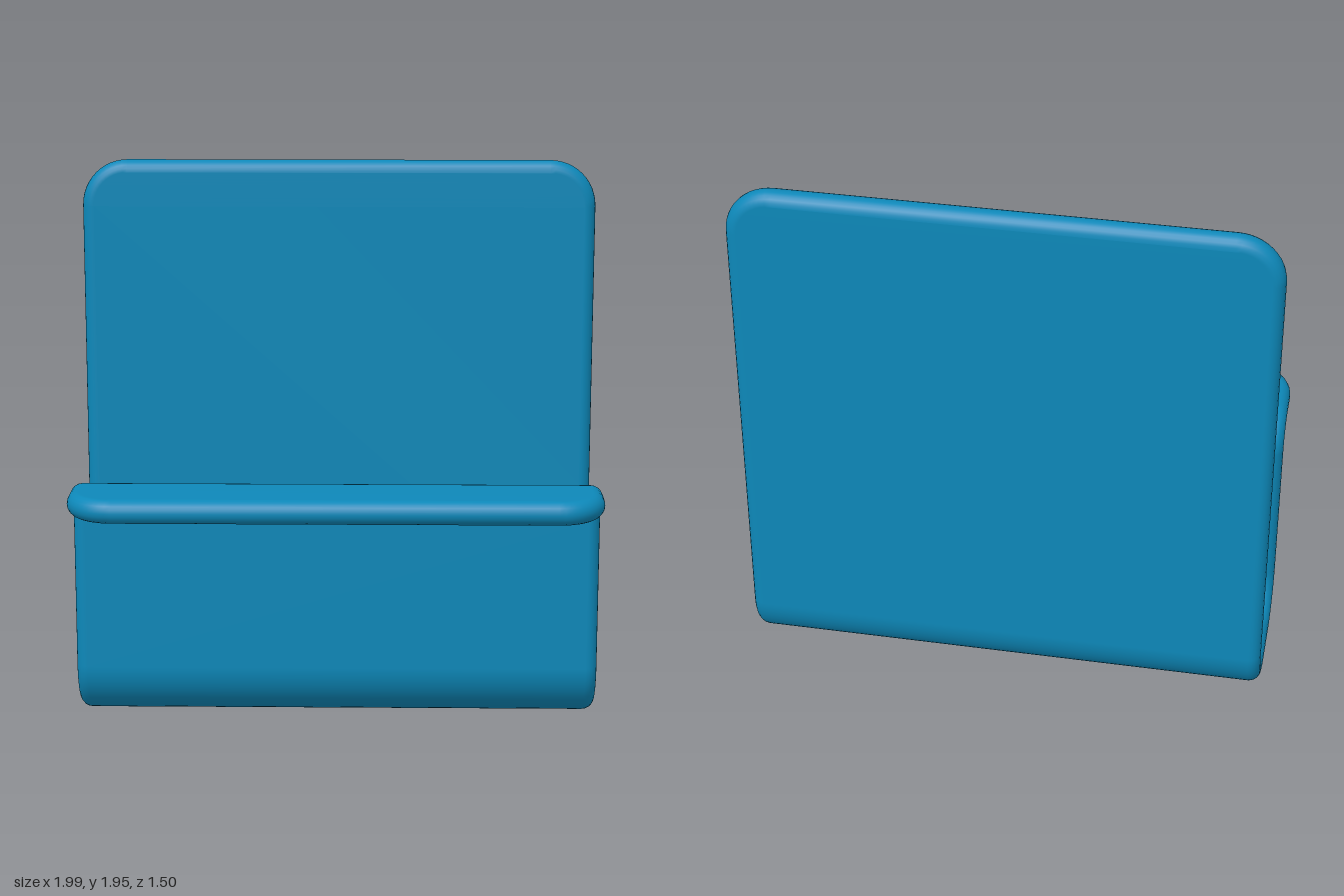
import * as THREE from 'three';

const HALF_WIDTH = 0.926; // half the sheet width
const EDGE = 0.042;       // half the sheet thickness, also the edge rounding
const CORNER = 0.165;     // radius of the four sheet corners
const START = { z: -0.378, y: 1.95 };

// Side profile of the bent sheet: straight runs and bends (radius, turn direction)
const PROFILE = [
  { run: 1.743 },                // back plate, going down
  { radius: 0.165, turn: 1 },
  { run: 0.165 },                // floor of the trough
  { radius: 0.165, turn: 1 },
  { run: 0.541 },                // front wall, going up
  { radius: 0.1, turn: -1 },
  { run: 0.253 },                // lip, going forward
];
const lengthOf = (p) => p.run ?? p.radius * Math.PI / 2;
const TOTAL = PROFILE.reduce((sum, p) => sum + lengthOf(p), 0);

// Point at distance s along the profile, offset by h from the sheet's middle
function profilePoint(s, h) {
  let { z, y } = START;
  let angle = -Math.PI / 2;
  for (const p of PROFILE) {
    const d = Math.min(s, lengthOf(p));
    if (p.run) {
      z += d * Math.cos(angle);
      y += d * Math.sin(angle);
    } else {
      const next = angle + p.turn * d / p.radius;
      z += p.turn * p.radius * (Math.sin(next) - Math.sin(angle));
      y -= p.turn * p.radius * (Math.cos(next) - Math.cos(angle));
      angle = next;
    }
    s -= d;
    if (s <= 1e-9) break;
  }
  return { z: z - h * Math.sin(angle), y: y + h * Math.cos(angle) };
}

// Rows [half width, distance] of the flat rounded outline, shrunk by inset
function outlineRows(inset) {
  const corner = [];
  const steps = 12;
  for (let i = 0; i <= steps; i++) {
    const a = (i / steps) * Math.PI / 2;
    corner.push([
      HALF_WIDTH - CORNER + (CORNER - inset) * Math.sin(a),
      CORNER - (CORNER - inset) * Math.cos(a),
    ]);
  }
  const middle = [];
  let s = 0;
  PROFILE.forEach((p, k) => {
    const n = p.run ? 1 : 16;
    for (let i = 1; i <= n; i++) {
      if (k < PROFILE.length - 1) middle.push([HALF_WIDTH - inset, s + lengthOf(p) * i / n]);
    }
    s += lengthOf(p);
  });
  const end = corner.map(([w, d]) => [w, TOTAL - d]).reverse();
  return [...corner, ...middle, ...end];
}

// Bent sheet with fully rounded edges: outline rings stacked through its thickness
function bentSheet() {
  const positions = [];
  const index = [];
  const rings = 10;
  let rowCount = 0;
  for (let k = 0; k <= rings; k++) {
    const t = (k / rings - 0.5) * Math.PI;
    const h = EDGE * Math.sin(t);
    const rows = outlineRows(EDGE * (1 - Math.cos(t)));
    rowCount = rows.length;
    const add = (x, s) => {
      const p = profilePoint(s, h);
      positions.push(x, p.y, p.z);
    };
    rows.forEach(([w, s]) => add(-w, s));
    [...rows].reverse().forEach(([w, s]) => add(w, s));
  }
  const loop = rowCount * 2;
  const quad = (a, b, c, d) => index.push(a, b, c, a, c, d);
  // Rounded rim
  for (let k = 0; k < rings; k++) {
    for (let i = 0; i < loop; i++) {
      const j = (i + 1) % loop;
      quad(k * loop + i, k * loop + j, (k + 1) * loop + j, (k + 1) * loop + i);
    }
  }
  // Two broad faces
  const top = rings * loop;
  for (let i = 0; i < rowCount - 1; i++) {
    const r = loop - 1 - i;
    quad(top + i, top + i + 1, top + r - 1, top + r);
    quad(i, r, r - 1, i + 1);
  }
  const geometry = new THREE.BufferGeometry();
  geometry.setAttribute('position', new THREE.Float32BufferAttribute(positions, 3));
  geometry.setIndex(index);
  geometry.computeVertexNormals();
  return geometry;
}

export function createModel() {
  const model = new THREE.Group();
  model.name = 'bentSheetHolder';
  const sheet = new THREE.Mesh(bentSheet(), new THREE.MeshStandardMaterial({ color: 0x0d88b9 }));
  sheet.name = 'bentSheet';
  // The holder stands turned to one side
  sheet.rotation.y = THREE.MathUtils.degToRad(24);
  model.add(sheet);
  return model;
}
